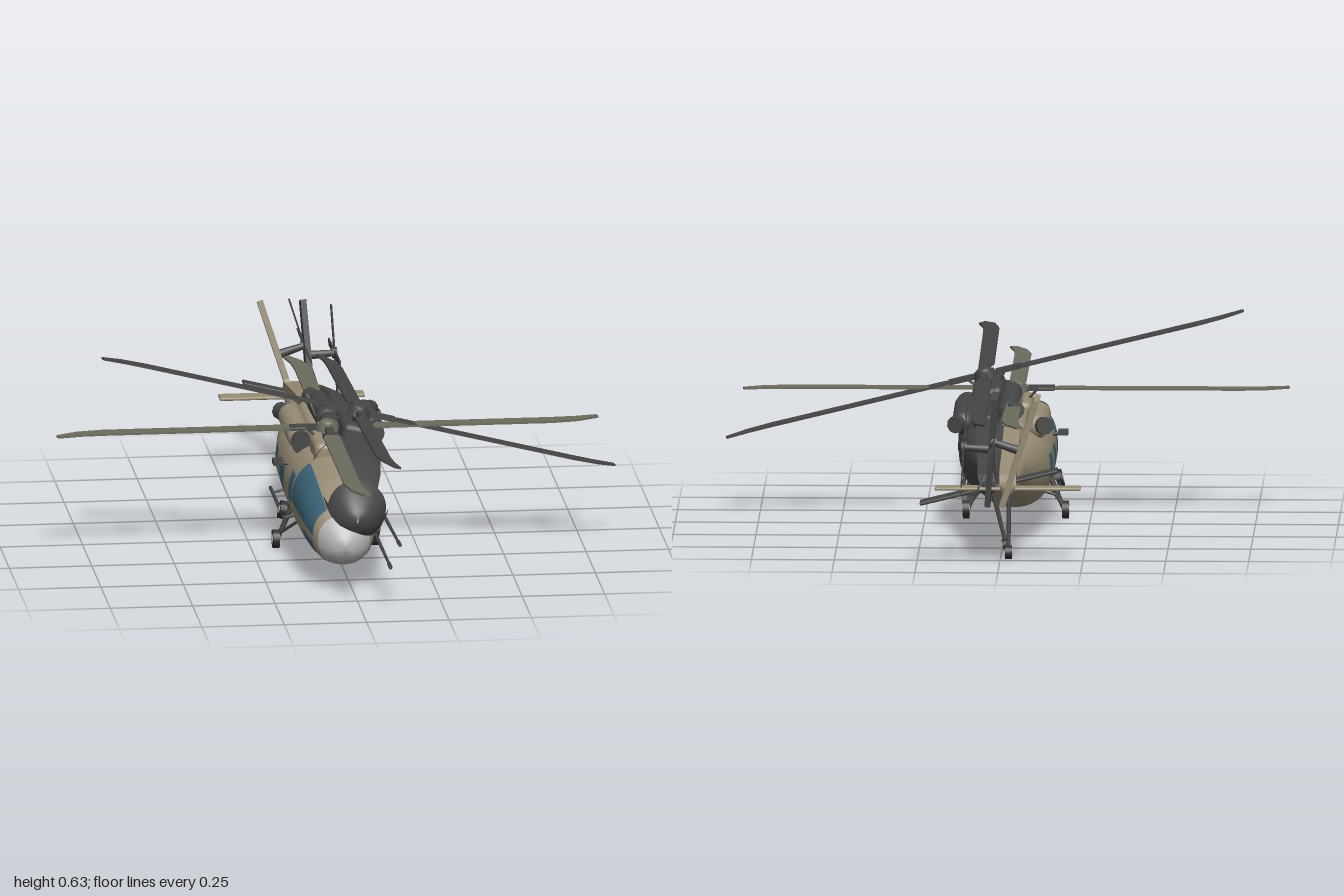
import * as THREE from 'three';
import { RoundedBoxGeometry } from 'three/addons/geometries/RoundedBoxGeometry.js';

const mat = (name, color) => new THREE.MeshStandardMaterial({ name, color });
const tan = mat('tan paint', 0x978c75);
const olive = mat('olive blade', 0x6b6b5d);
const charcoal = mat('charcoal paint', 0x464646);
const glass = mat('blue glass', 0x3c6478);
const grey = mat('grey nose', 0xb4b4b4);
const black = mat('black rubber', 0x2c2c2c);

// Fuselage stations from nose to tail: z, bottom, top, half width
const STATIONS = [
  [0.658, 0.135, 0.15, 0.002], [0.652, 0.115, 0.172, 0.03], [0.635, 0.093, 0.2, 0.056],
  [0.605, 0.077, 0.23, 0.079], [0.58, 0.072, 0.252, 0.091], [0.52, 0.069, 0.285, 0.106],
  [0.42, 0.068, 0.312, 0.117], [0.28, 0.068, 0.326, 0.122], [0, 0.07, 0.328, 0.122],
  [-0.2, 0.08, 0.326, 0.117], [-0.32, 0.098, 0.32, 0.1], [-0.4, 0.122, 0.312, 0.084],
  [-0.48, 0.158, 0.302, 0.063], [-0.56, 0.187, 0.29, 0.044], [-0.7, 0.203, 0.268, 0.031],
  [-0.85, 0.212, 0.25, 0.022], [-0.855, 0.23, 0.232, 0.001],
];
// Panes: z from, z to, angle from, angle to (degrees from the top)
const PANES = [
  [0.28, 0.58, 30, 90], [0.19, 0.265, 60, 96], [0.46, 0.57, 102, 126],
  [-0.06, 0.06, 72, 102], [-0.23, -0.145, 72, 102],
];

function section(z) {
  const i = Math.max(1, STATIONS.findIndex((s) => s[0] <= z + 1e-6));
  const a = STATIONS[i - 1], b = STATIONS[i];
  const k = (z - a[0]) / (b[0] - a[0]);
  return a.map((v, n) => v + (b[n] - v) * k);
}

function fuselageGeometry() {
  const cuts = [...STATIONS.map((s) => s[0]), ...PANES.flatMap((p) => [p[0], p[1]])];
  const zs = [...new Set(cuts)].sort((a, b) => b - a);
  const N = 60, pos = [], cells = [[], [], []];
  for (const z of zs) {
    const [, lo, hi, w] = section(z);
    for (let j = 0; j < N; j++) {
      const t = (j / N) * Math.PI * 2, s = Math.sin(t), c = Math.cos(t);
      const round = (v) => Math.sign(v) * Math.abs(v) ** 0.9;
      pos.push(w * round(s), (lo + hi) / 2 + ((hi - lo) / 2) * round(c), z);
    }
  }
  for (let i = 0; i < zs.length - 1; i++) {
    const zc = (zs[i] + zs[i + 1]) / 2;
    for (let j = 0; j < N; j++) {
      const deg = Math.min(j + 0.5, N - j - 0.5) * 6;
      const pane = PANES.some((p) => zc > p[0] && zc < p[1] && deg > p[2] && deg < p[3]);
      const a = i * N + j, b = i * N + ((j + 1) % N);
      cells[pane ? 2 : zc > 0.6 ? 1 : 0].push(a, b, a + N, b, b + N, a + N);
    }
  }
  const g = new THREE.BufferGeometry();
  g.setAttribute('position', new THREE.Float32BufferAttribute(pos, 3));
  g.setIndex(cells.flat());
  g.computeVertexNormals();
  let start = 0;
  cells.forEach((c, m) => { g.addGroup(start, c.length, m); start += c.length; });
  return g;
}

// Flat plate drawn as (z, y) points and centred on x
function sidePlate(points, width) {
  const shape = new THREE.Shape(points.map((p) => new THREE.Vector2(...p)));
  return new THREE.ExtrudeGeometry(shape, { depth: width, bevelEnabled: false })
    .rotateY(-Math.PI / 2).translate(width / 2, 0, 0);
}

// Blade along +x with a swept tip
function bladeGeometry() {
  const pts = [[0.03, -0.01], [0.1, -0.012], [0.13, -0.026], [0.68, -0.026], [0.76, -0.012],
    [0.825, 0.022], [0.82, 0.042], [0.75, 0.028], [0.68, 0.024], [0.13, 0.024], [0.1, 0.012], [0.03, 0.01]];
  const shape = new THREE.Shape(pts.map((p) => new THREE.Vector2(...p)));
  return new THREE.ExtrudeGeometry(shape, { depth: 0.006, bevelEnabled: false })
    .rotateX(-Math.PI / 2).translate(0, -0.003, 0);
}

function rod(a, b, r, r2 = r) {
  const p = new THREE.Vector3(...a), q = new THREE.Vector3(...b), d = q.clone().sub(p);
  const g = new THREE.CylinderGeometry(r2, r, d.length(), 10);
  g.applyQuaternion(new THREE.Quaternion().setFromUnitVectors(new THREE.Vector3(0, 1, 0), d.normalize()));
  return g.translate((p.x + q.x) / 2, (p.y + q.y) / 2, (p.z + q.z) / 2);
}

function add(parent, name, geometry, material, x = 0, y = 0, z = 0) {
  const m = new THREE.Mesh(geometry, material);
  m.name = name;
  m.position.set(x, y, z);
  parent.add(m);
  return m;
}

function wheel(parent, name, x, y, z, r) {
  add(parent, name, new THREE.CylinderGeometry(r, r, 0.02, 20).rotateZ(Math.PI / 2), black, x, y, z);
  add(parent, name + 'Hub', new THREE.CylinderGeometry(r * 0.5, r * 0.5, 0.023, 16).rotateZ(Math.PI / 2), grey, x, y, z);
}

function helicopter(name, paint, bladePaint, nosePaint, glazed) {
  const h = new THREE.Group();
  h.name = name;

  // Body; without glazing the panes stay open
  const body = fuselageGeometry();
  if (!glazed) body.groups = body.groups.filter((g) => g.materialIndex !== 2);
  add(h, 'fuselage', body, [paint, nosePaint, glass]);
  add(h, 'rotorHousing', new RoundedBoxGeometry(0.1, 0.075, 0.24, 3, 0.02), paint, 0, 0.328, 0.15);
  add(h, 'roofFairing', new RoundedBoxGeometry(0.08, 0.05, 0.36, 3, 0.02), paint, 0, 0.325, -0.12);
  add(h, 'tailSpine', sidePlate([[-0.3, 0.3], [-0.31, 0.343], [-0.5, 0.32], [-0.82, 0.272], [-0.83, 0.23], [-0.6, 0.25]], 0.05), paint);

  // Engines, rails and main wheels on both sides
  for (const s of [-1, 1]) {
    const pod = add(h, 'enginePod', new THREE.CapsuleGeometry(0.036, 0.24, 8, 20).rotateX(Math.PI / 2), paint, s * 0.072, 0.328, -0.085);
    pod.scale.set(1, 1.05, 1);
    add(h, 'engineIntake', new THREE.CylinderGeometry(0.033, 0.028, 0.06, 20).rotateX(Math.PI / 2), charcoal, s * 0.07, 0.325, 0.085);
    add(h, 'exhaust', rod([s * 0.075, 0.33, -0.19], [s * 0.098, 0.335, -0.25], 0.027), charcoal);
    add(h, 'sideRail', new THREE.BoxGeometry(0.008, 0.008, 0.4), charcoal, s * 0.132, 0.108, 0);
    for (const z of [0.16, -0.14]) add(h, 'railBracket', rod([s * 0.09, 0.12, z], [s * 0.132, 0.108, z], 0.004), charcoal);
    add(h, 'mainLeg', rod([s * 0.1, 0.135, 0.11], [s * 0.145, 0.03, 0.1], 0.009, 0.007), charcoal);
    add(h, 'legBrace', rod([s * 0.09, 0.1, 0.17], [s * 0.14, 0.045, 0.1], 0.005), charcoal);
    wheel(h, 'mainWheel', s * 0.15, 0.028, 0.1, 0.028);
  }
  add(h, 'tailLeg', rod([0, 0.21, -0.7], [0, 0.02, -0.715], 0.008, 0.006), charcoal);
  wheel(h, 'tailWheel', 0, 0.02, -0.715, 0.02);

  // Long probe beside the nose
  add(h, 'probe', rod([0.108, 0.14, 0.4], [0.112, 0.135, 0.87], 0.006, 0.004), charcoal);
  add(h, 'probeTip', rod([0.112, 0.135, 0.82], [0.112, 0.135, 0.875], 0.006), charcoal);

  // Main rotor
  const rotor = new THREE.Group();
  rotor.name = 'mainRotor';
  rotor.position.set(0, 0.39, 0.16);
  h.add(rotor);
  add(rotor, 'mast', new THREE.CylinderGeometry(0.014, 0.02, 0.08, 16), charcoal, 0, -0.03, 0);
  add(rotor, 'hub', new THREE.CylinderGeometry(0.032, 0.036, 0.022, 24), bladePaint);
  const cap = add(rotor, 'hubCap', new THREE.SphereGeometry(0.026, 20, 10), bladePaint, 0, 0.01, 0);
  cap.scale.y = 0.55;
  const blade = bladeGeometry();
  for (let i = 0; i < 4; i++) {
    const arm = new THREE.Group();
    arm.name = 'bladeArm';
    arm.rotation.y = (i * Math.PI) / 2;
    rotor.add(arm);
    add(arm, 'blade', blade, bladePaint);
    add(arm, 'bladeGrip', new THREE.BoxGeometry(0.08, 0.016, 0.022), charcoal, 0.075, 0, 0);
    add(arm, 'pitchLink', rod([0.06, -0.005, 0.018], [0.025, -0.045, 0.012], 0.004), charcoal);
  }

  // Leaning fin with the tail rotor on its left side
  const tail = new THREE.Group();
  tail.name = 'leaningTail';
  tail.position.set(0, 0.23, 0);
  tail.rotation.z = 0.31;
  h.add(tail);
  add(tail, 'fin', sidePlate([[-0.775, -0.055], [-0.76, 0.03], [-0.79, 0.06], [-0.835, 0.305], [-0.89, 0.29], [-0.865, -0.055]], 0.018), paint);
  add(tail, 'tailShaft', rod([0, 0.125, -0.845], [0.085, 0.125, -0.845], 0.014, 0.01), charcoal);
  add(tail, 'tailHub', new THREE.CylinderGeometry(0.018, 0.018, 0.016, 16).rotateZ(Math.PI / 2), charcoal, 0.085, 0.125, -0.845);
  for (let i = 0; i < 4; i++) {
    const b = add(tail, 'tailBlade', new THREE.BoxGeometry(0.005, 0.022, 0.14).translate(0, 0, 0.083), charcoal, 0.085, 0.125, -0.845);
    b.rotation.x = (i * Math.PI) / 2 + 0.03;
  }
  add(h, 'tailplane', new RoundedBoxGeometry(0.44, 0.01, 0.055, 2, 0.004), paint, 0, 0.23, -0.81);
  return h;
}

export function createModel() {
  const model = new THREE.Group();
  model.name = 'pairedHelicopters';

  // Level machine
  const level = helicopter('tanHelicopter', tan, olive, grey, true);
  level.position.x = -0.025;
  model.add(level);

  // Overlapping machine, rolled and nose up about its rotor hub
  const pivot = new THREE.Group();
  pivot.name = 'darkHelicopterPivot';
  pivot.position.set(0.07, 0.432, 0.155);
  pivot.rotation.set(-0.053, 0, -0.242);
  pivot.scale.setScalar(0.975);
  const dark = helicopter('darkHelicopter', charcoal, charcoal, charcoal, false);
  dark.position.set(0, -0.39, -0.16);
  pivot.add(dark);
  model.add(pivot);

  // Small hoist on the right side
  add(model, 'hoist', new THREE.BoxGeometry(0.03, 0.014, 0.045), charcoal, -0.168, 0.266, 0.09);
  add(model, 'hoistArm', rod([-0.17, 0.266, 0.09], [-0.12, 0.255, 0.09], 0.005), charcoal);
  return model;
}
